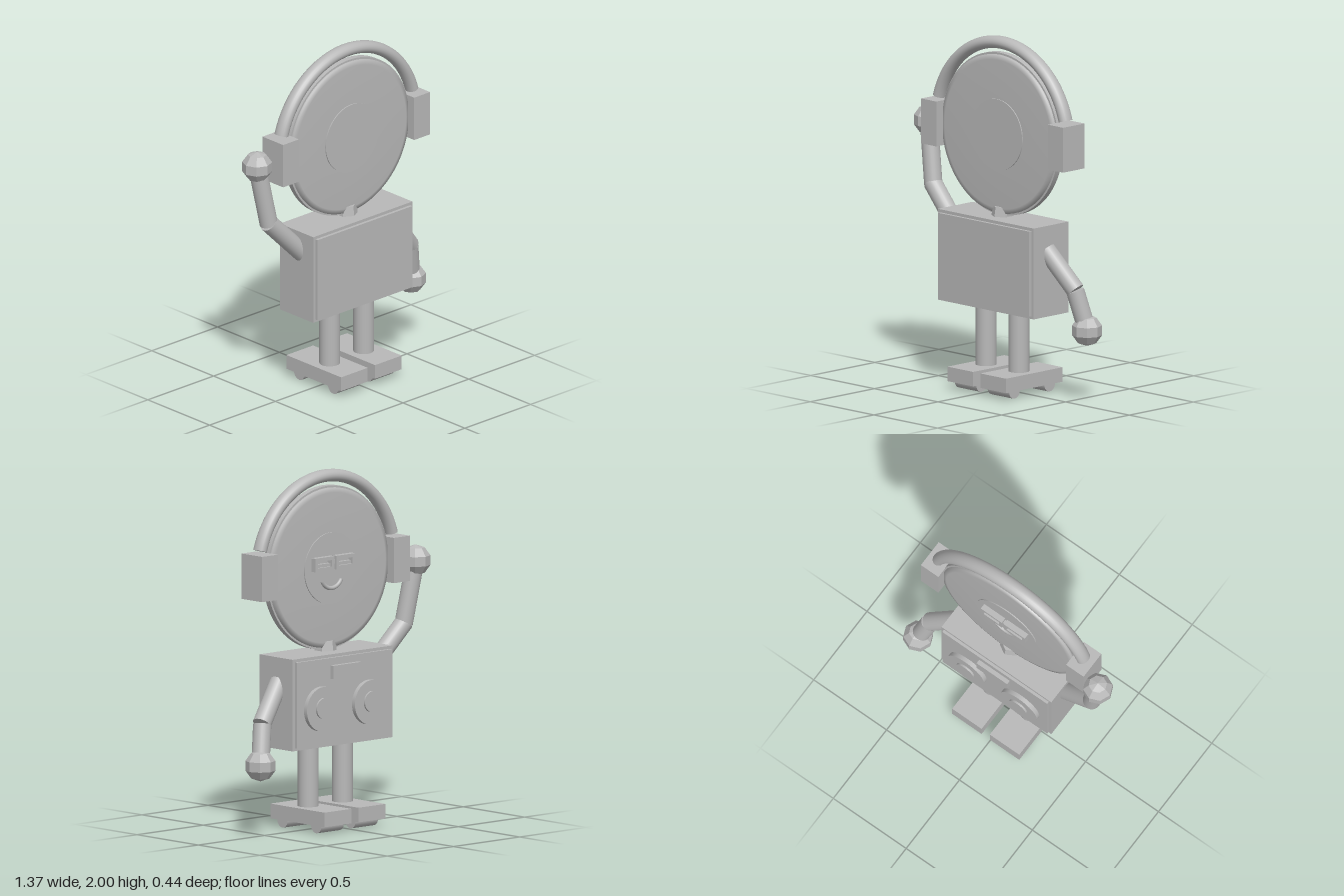
import * as THREE from 'three';

const grey = new THREE.MeshStandardMaterial({ color: 0xb8b8b8 });
grey.name = 'plain grey';
const CX = 0.023, CZ = 0.018, HEAD_Y = 1.452;

export function createModel() {
  const root = new THREE.Group();
  root.name = 'robot';

  const add = (name, geometry, x = 0, y = 0, z = 0) => {
    const mesh = new THREE.Mesh(geometry, grey);
    mesh.name = name;
    mesh.position.set(x, y, z);
    root.add(mesh);
    return mesh;
  };
  // box given by its limits on each axis
  const box = (name, x0, x1, y0, y1, z0, z1) =>
    add(name, new THREE.BoxGeometry(x1 - x0, y1 - y0, z1 - z0), (x0 + x1) / 2, (y0 + y1) / 2, (z0 + z1) / 2);
  // cylinder between two points
  const rod = (name, a, b, r) => {
    const p = new THREE.Vector3(...a), q = new THREE.Vector3(...b);
    const d = q.clone().sub(p);
    const mesh = add(name, new THREE.CylinderGeometry(r, r, d.length(), 24));
    mesh.position.copy(p).add(q).multiplyScalar(0.5);
    mesh.quaternion.setFromUnitVectors(new THREE.Vector3(0, 1, 0), d.normalize());
    return mesh;
  };
  // disc with its axis along z
  const disc = (name, r, x, y, z0, z1, seg = 64) => {
    const mesh = add(name, new THREE.CylinderGeometry(r, r, z1 - z0, seg), x, y, (z0 + z1) / 2);
    mesh.rotation.x = Math.PI / 2;
    return mesh;
  };

  // Torso with raised front and back panels
  box('torso', -0.353, 0.4, 0.474, 0.988, -0.121, 0.15);
  box('frontPanel', -0.336, 0.383, 0.49, 0.971, 0.14, 0.168);
  box('backPanel', -0.336, 0.383, 0.49, 0.971, -0.137, -0.11);

  // Reels and window on the back panel
  for (const x of [-0.158, 0.204]) {
    disc('reel', 0.125, x, 0.695, -0.162, -0.13, 40);
    disc('reelHub', 0.059, x, 0.7, -0.173, -0.15, 32);
  }
  box('panelWindow', -0.08, 0.13, 0.855, 0.93, -0.162, -0.13);

  // Neck
  const neck = new THREE.CylinderGeometry(0.055, 0.066, 0.065, 6).toNonIndexed();
  neck.computeVertexNormals();
  add('neck', neck, CX, 1.01, CZ);

  // Head: slim stack of discs, slightly domed, with a thin rim
  disc('headRim', 0.458, CX, HEAD_Y, CZ - 0.018, CZ + 0.018, 96);
  const half = [[0.447, 0.03], [0.42, 0.036], [0.2, 0.041]];
  const profile = [
    [0, -0.041], ...half.slice().reverse().map(([r, h]) => [r, -h]),
    ...half, [0, 0.041],
  ].map(([r, h]) => new THREE.Vector2(r, h));
  const head = add('head', new THREE.LatheGeometry(profile, 96), CX, HEAD_Y, CZ);
  head.rotation.x = Math.PI / 2;
  disc('headCentre', 0.2, CX, HEAD_Y, CZ - 0.047, CZ + 0.047);

  // Eye frames with narrow openings
  const frame = new THREE.Shape([[-0.072, -0.038], [0.072, -0.038], [0.072, 0.038], [-0.072, 0.038]]
    .map(p => new THREE.Vector2(...p)));
  frame.holes.push(new THREE.Path([[-0.052, -0.018], [-0.052, 0.018], [0.052, 0.018], [0.052, -0.018]]
    .map(p => new THREE.Vector2(...p))));
  for (const s of [-1, 1]) {
    add('eyeFrame', new THREE.ExtrudeGeometry(frame, { depth: 0.035, bevelEnabled: false }),
      CX + s * 0.079, 1.485, -0.062);
    box('eye', CX + s * 0.079 - 0.052, CX + s * 0.079 + 0.052, 1.467, 1.485, -0.05, -0.025);
  }
  box('eyeBridge', CX - 0.01, CX + 0.01, 1.48, 1.5, -0.052, -0.025);

  // Smile
  const arc = Math.PI * 0.7;
  const smile = add('smile', new THREE.TorusGeometry(0.08, 0.012, 10, 24, arc), CX, 1.42, -0.032);
  smile.rotation.z = -Math.PI / 2 - arc / 2;

  // Headband with oval section, and ear blocks
  const a0 = 0.284;
  const band = new THREE.TorusGeometry(0.515, 0.035, 20, 64, Math.PI - 2 * a0);
  band.rotateZ(a0);
  band.scale(1, 1, 1.2);
  add('headband', band, CX, 1.45, CZ);
  for (const s of [-1, 1]) {
    const end = add('headbandEnd', new THREE.CircleGeometry(0.035, 20),
      CX + s * 0.515 * Math.cos(a0), 1.45 + 0.515 * Math.sin(a0), CZ);
    end.rotation.set(Math.PI / 2, s * a0, 0);
    end.scale.y = 1.2;
    box('earBlock', CX + s * 0.498 - 0.06, CX + s * 0.498 + 0.06, 1.324, 1.578, -0.067, 0.1);
  }

  // Arms: shoulder, two elbow ends, hand
  const arms = {
    right: [[-0.31, 0.84, 0.02], [-0.55, 1.085, -0.005], [-0.545, 1.075, -0.005], [-0.608, 1.43, -0.033]],
    left: [[0.37, 0.845, 0.022], [0.548, 0.634, -0.03], [0.545, 0.632, -0.03], [0.597, 0.41, -0.071]],
  };
  for (const [side, [shoulder, elbow, elbow2, hand]] of Object.entries(arms)) {
    rod(side + 'UpperArm', shoulder, elbow, 0.052);
    rod(side + 'Forearm', elbow2, hand, 0.051);
    const ball = new THREE.SphereGeometry(0.088, 8, 5).toNonIndexed();
    ball.computeVertexNormals();
    add(side + 'Hand', ball, ...hand);
  }

  // Legs, feet and rollers
  for (const s of [-1, 1]) {
    const x = CX + s * 0.129;
    rod('leg', [x, 0.1, 0.02], [x, 0.5, 0.02], 0.058);
    box('foot', x - 0.101, x + 0.101, 0.045, 0.127, -0.222, 0.22);
    for (const z of [-0.137, 0.138]) rod('roller', [x - 0.085, 0.042, z], [x + 0.085, 0.042, z], 0.042);
  }
  return root;
}
